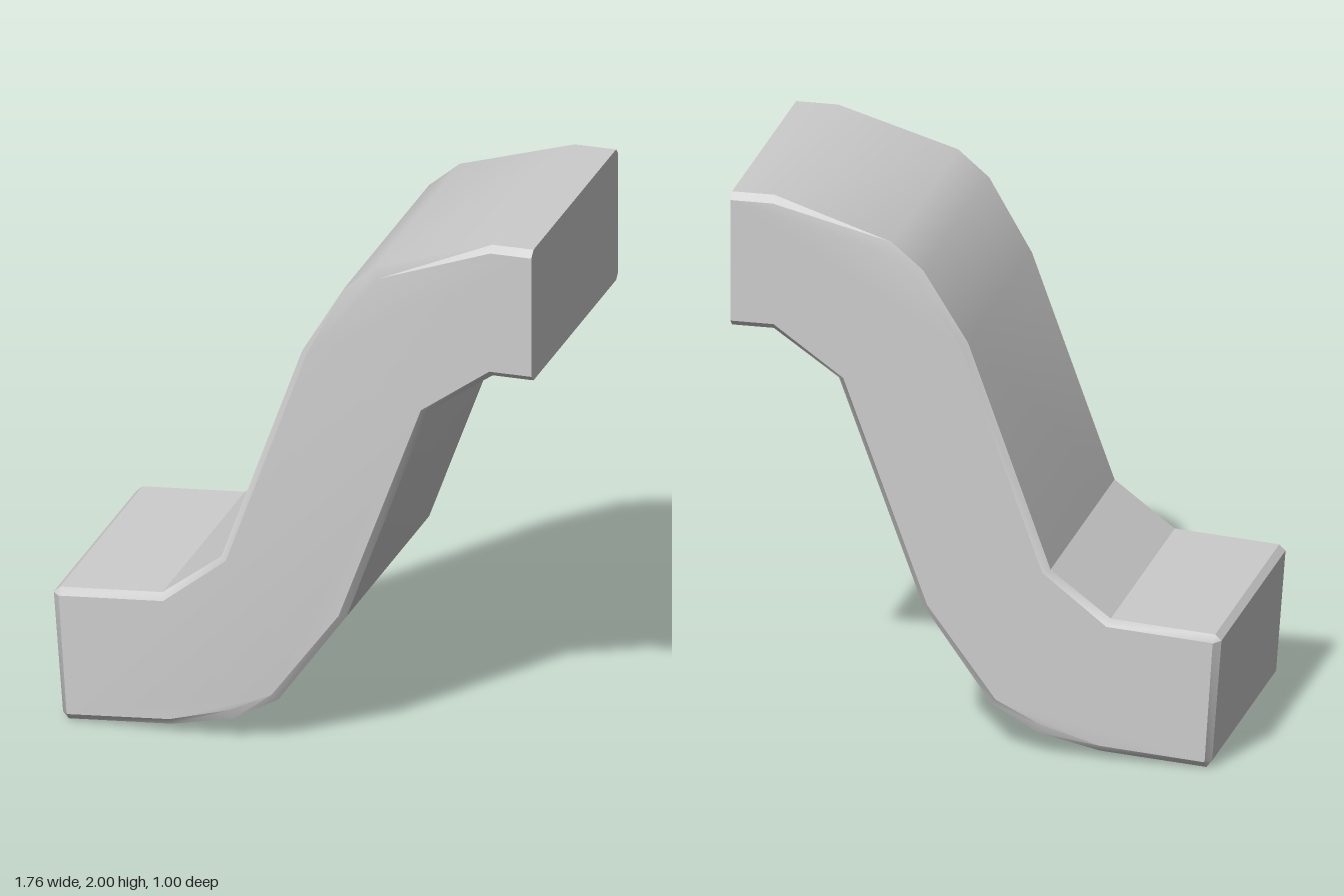
import * as THREE from 'three';
import { toCreasedNormals } from 'three/addons/utils/BufferGeometryUtils.js';

// Side profile, clockwise: outer edge x, y; bevelled inner edge x, y; half depth of the outer edge
const PROFILE = [
  [-0.883, 0.477, -0.857, 0.472, 0.475],
  [-0.86, 0.498, -0.855, 0.474, 0.475],
  [-0.484, 0.525, -0.474, 0.502, 0.475],
  [-0.267, 0.689, -0.243, 0.684, 0.475],
  [0.03, 1.508, 0.052, 1.503, 0.475],
  [0.188, 1.77, 0.222, 1.742, 0.49],
  [0.30, 1.865, 0.318, 1.828, 0.49],
  [0.728, 2.0, 0.728, 1.976, 0.475],
  [0.88, 2.0, 0.88, 1.976, 0.475],
  [0.88, 1.504, 0.88, 1.527, 0.475],
  [0.73, 1.504, 0.725, 1.527, 0.475],
  [0.495, 1.34, 0.474, 1.348, 0.475],
  [0.193, 0.519, 0.172, 0.529, 0.475],
  [-0.056, 0.175, -0.075, 0.197, 0.482],
  [-0.22, 0.085, -0.234, 0.118, 0.49],
  [-0.447, 0.032, -0.45, 0.057, 0.48],
  [-0.828, 0.002, -0.826, 0.028, 0.475],
  [-0.849, 0.027, -0.828, 0.03, 0.475],
];

// Four loops across the depth, joined by bands and closed by flat sides
function bracketGeometry() {
  const n = PROFILE.length;
  const positions = [];
  const loops = [
    ([, , x, y]) => [x, y, 0.5],
    ([x, y, , , z]) => [x, y, z],
    ([x, y, , , z]) => [x, y, -z],
    ([, , x, y]) => [x, y, -0.5],
  ];
  for (const loop of loops) for (const p of PROFILE) positions.push(...loop(p));

  const index = [];
  for (let r = 0; r < 3; r++) {
    for (let i = 0; i < n; i++) {
      const j = (i + 1) % n;
      const a = r * n + i, b = r * n + j, c = a + n, d = b + n;
      index.push(a, b, d, a, d, c);
    }
  }
  const outline = PROFILE.map(([, , x, y]) => new THREE.Vector2(x, y));
  for (const [a, b, c] of THREE.ShapeUtils.triangulateShape(outline, [])) {
    const u = outline[b].clone().sub(outline[a]);
    const v = outline[c].clone().sub(outline[a]);
    const [p, q] = u.cross(v) > 0 ? [b, c] : [c, b];
    index.push(a, p, q, 3 * n + a, 3 * n + q, 3 * n + p);
  }

  const geometry = new THREE.BufferGeometry();
  geometry.setAttribute('position', new THREE.Float32BufferAttribute(positions, 3));
  geometry.setIndex(index);
  return toCreasedNormals(geometry, THREE.MathUtils.degToRad(30));
}

export function createModel() {
  const group = new THREE.Group();
  group.name = 'curvedBracket';
  const grey = new THREE.MeshStandardMaterial({ color: 0xcccccc });
  grey.name = 'plain grey';
  const body = new THREE.Mesh(bracketGeometry(), grey);
  body.name = 'bracketBody';
  group.add(body);
  return group;
}
